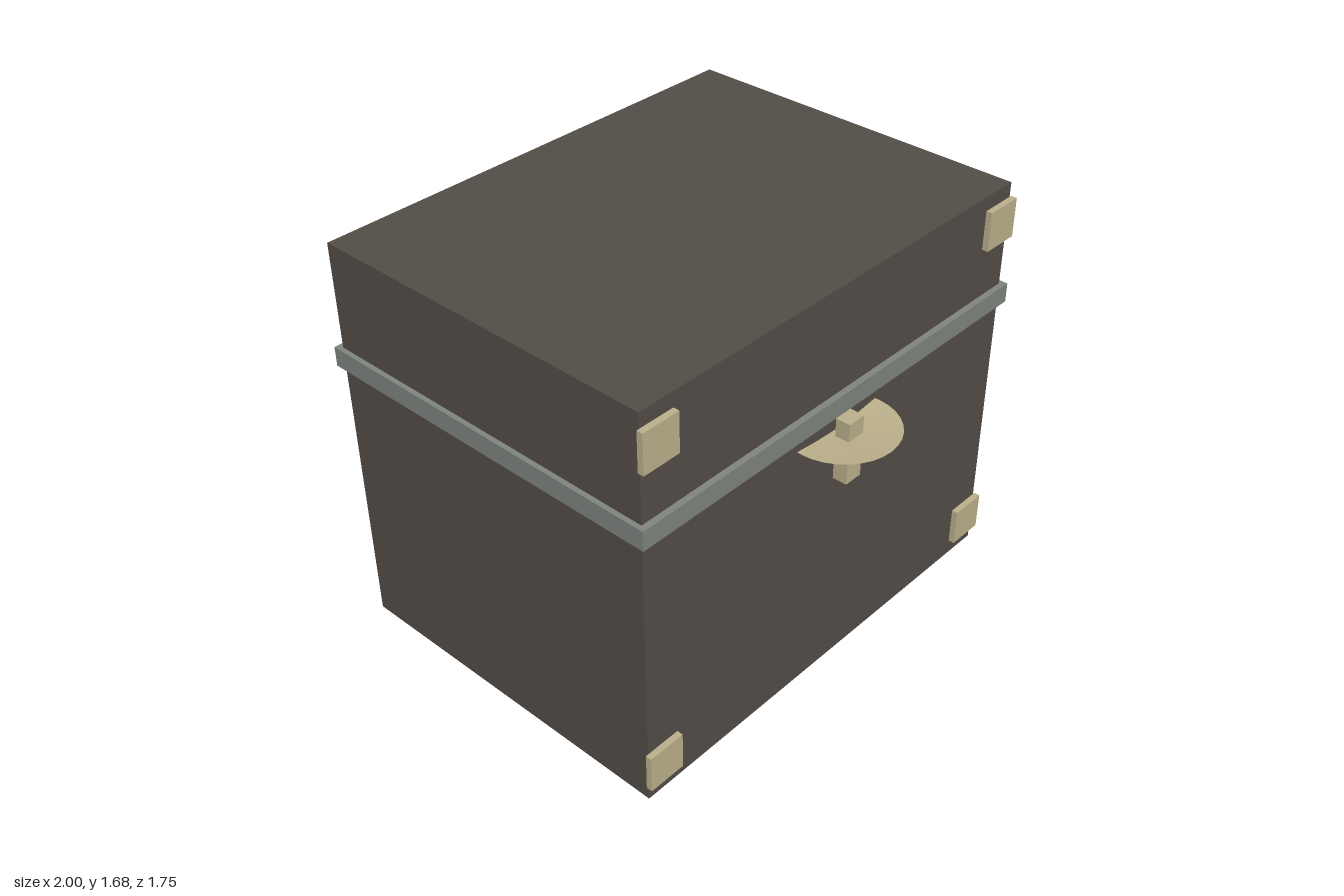
import * as THREE from 'three';

export function createModel() {
  const root = new THREE.Group();
  const leather = new THREE.MeshStandardMaterial({ color: 0x544d47 });
  const steel = new THREE.MeshStandardMaterial({ color: 0x80857f });
  const brass = new THREE.MeshStandardMaterial({ color: 0xbdb28c });
  const brassSheet = new THREE.MeshStandardMaterial({ color: 0xbdb28c, side: THREE.DoubleSide });

  // Box given by its extents on each axis
  const addBox = (name, material, [x0, x1], [y0, y1], [z0, z1]) => {
    const mesh = new THREE.Mesh(new THREE.BoxGeometry(x1 - x0, y1 - y0, z1 - z0), material);
    mesh.position.set((x0 + x1) / 2, (y0 + y1) / 2, (z0 + z1) / 2);
    mesh.name = name;
    root.add(mesh);
  };

  const seam = 1.21;
  const depth = [-0.855, 0.635];

  // Trunk body and lid, meeting behind the metal band
  addBox('body', leather, [-0.98, 0.98], [0, seam], depth);
  addBox('lid', leather, [-0.98, 0.98], [seam, 1.68], depth);
  addBox('band', steel, [-1, 1], [1.17, 1.25], [-0.88, 0.66]);

  // Corner plates on the front face
  for (const side of [-1, 1]) {
    for (const [y, level] of [[0.145, 'lower'], [1.54, 'upper']]) {
      const x = side * 0.91;
      addBox(`${level}${side > 0 ? 'Left' : 'Right'}CornerPlate`, brass,
        [x - 0.08, x + 0.08], [y - 0.08, y + 0.08], [0.635, 0.66]);
    }
  }

  // Latch tongue
  addBox('latch', brass, [-0.04, 0.04], [0.91, 1.17], [0.66, 0.72]);

  // Shallow dished plate around the latch
  const dishProfile = [[0, 0], [0.11, 0.006], [0.22, 0.018]].map(([r, y]) => new THREE.Vector2(r, y));
  const dish = new THREE.Mesh(new THREE.LatheGeometry(dishProfile, 32), brassSheet);
  dish.position.set(0, 1.092, 0.653);
  dish.name = 'latchDish';
  root.add(dish);

  return root;
}
